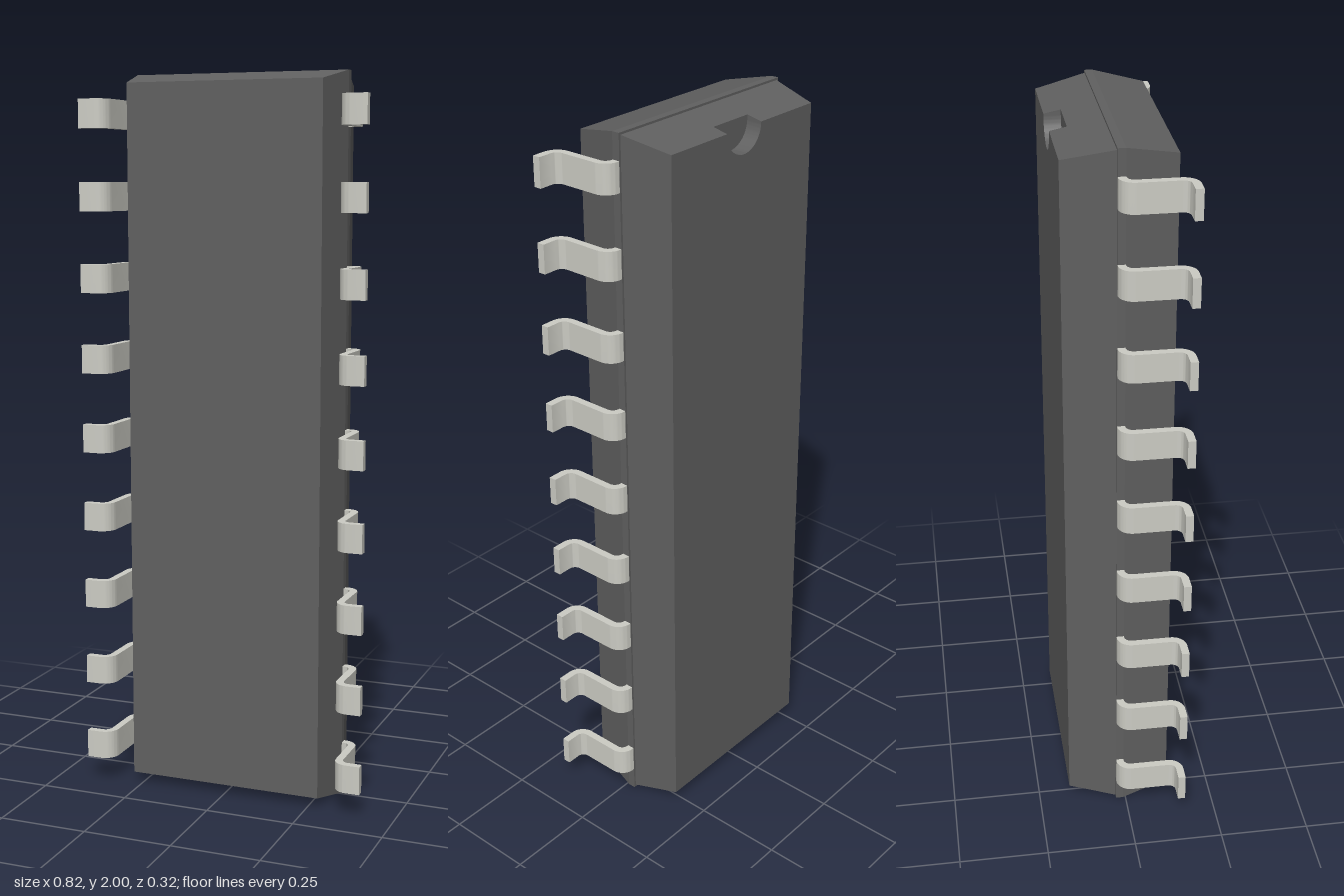
import * as THREE from 'three';
import { toCreasedNormals } from 'three/addons/utils/BufferGeometryUtils.js';

const bodyMaterial = new THREE.MeshStandardMaterial({ color: 0x606060 });
const leadMaterial = new THREE.MeshStandardMaterial({ color: 0xccccc4 });

// Rectangular slab from z0 to z1 whose half width and half height are given at each end
function slab(z0, w0, h0, z1, w1, h1) {
  const g = new THREE.BoxGeometry(2, 2, 1).toNonIndexed();
  const p = g.attributes.position;
  for (let i = 0; i < p.count; i++) {
    const end = p.getZ(i) > 0;
    p.setXYZ(i, p.getX(i) * (end ? w1 : w0), p.getY(i) * (end ? h1 : h0), end ? z1 : z0);
  }
  g.computeVertexNormals();
  return g;
}

// Back layer with a half-round notch cut in its top edge; outer edges taper, notch walls stay straight
function notchedSlab(z0, w0, h0, z1, w1, h1) {
  const r = 0.066, cy = h0 - 0.001;
  const s = new THREE.Shape();
  s.moveTo(-w1, -h1);
  s.lineTo(w1, -h1);
  s.lineTo(w1, h1);
  s.lineTo(r, h1);
  s.lineTo(r, cy);
  s.absarc(0, cy, r, 0, Math.PI, true);
  s.lineTo(-r, h1);
  s.lineTo(-w1, h1);
  s.closePath();
  const g = new THREE.ExtrudeGeometry(s, { depth: z1 - z0, bevelEnabled: false, curveSegments: 24 });
  const p = g.attributes.position;
  for (let i = 0; i < p.count; i++) {
    if (p.getZ(i) > 1e-5) continue;
    const x = p.getX(i), y = p.getY(i);
    if (Math.abs(x) > w1 - 1e-4) p.setX(i, Math.sign(x) * w0);
    if (Math.abs(y) > h1 - 1e-4) p.setY(i, Math.sign(y) * h0);
  }
  g.translate(0, 0, z0);
  return toCreasedNormals(g, 0.5);
}

// Gull-wing lead: bent strip profile extruded along y, centred on y = 0
function leadGeometry(width) {
  const s = new THREE.Shape();
  s.moveTo(0.304, 0.0275);
  s.lineTo(0.31, 0.0275);
  s.absarc(0.31, -0.012, 0.04, Math.PI / 2, 0, true);
  s.lineTo(0.35, -0.119);
  s.absarc(0.369, -0.119, 0.019, Math.PI, Math.PI * 1.5, false);
  s.lineTo(0.408, -0.138);
  s.lineTo(0.408, -0.159);
  s.lineTo(0.369, -0.159);
  s.absarc(0.369, -0.119, 0.04, Math.PI * 1.5, Math.PI, true);
  s.lineTo(0.329, -0.012);
  s.absarc(0.31, -0.012, 0.019, 0, Math.PI / 2, false);
  s.lineTo(0.304, 0.007);
  s.closePath();
  const g = new THREE.ExtrudeGeometry(s, { depth: width, bevelEnabled: false, curveSegments: 8 });
  g.translate(0, 0, -width / 2).rotateX(-Math.PI / 2);
  return toCreasedNormals(g, 0.6);
}

export function createModel() {
  const model = new THREE.Group();
  model.name = 'chipPackage';
  const add = (name, geometry, material, parent) => {
    const mesh = new THREE.Mesh(geometry, material);
    mesh.name = name;
    parent.add(mesh);
    return mesh;
  };

  // Moulded body: tapered front, straight rim, tapered back with the notch
  const body = new THREE.Group();
  body.name = 'body';
  body.position.y = 1;
  add('bodyFront', slab(-0.007, 0.306, 1, 0.125, 0.278, 0.972), bodyMaterial, body);
  add('bodyRim', slab(-0.028, 0.306, 1, -0.007, 0.306, 1), bodyMaterial, body);
  add('bodyBackBase', slab(-0.118, 0.281, 0.975, -0.028, 0.3, 0.994), bodyMaterial, body);
  add('bodyBackNotched', notchedSlab(-0.162, 0.272, 0.966, -0.118, 0.281, 0.975), bodyMaterial, body);
  model.add(body);

  // Nine leads per side; the right row is the left one turned half round
  const lead = leadGeometry(0.079);
  for (const side of ['left', 'right']) {
    const row = new THREE.Group();
    row.name = side + 'Leads';
    for (let i = 0; i < 9; i++) {
      add(side + 'Lead' + (i + 1), lead, leadMaterial, row).position.y = (i - 4) * 0.2228;
    }
    row.position.y = 1;
    if (side === 'right') row.rotation.z = Math.PI;
    model.add(row);
  }
  return model;
}
